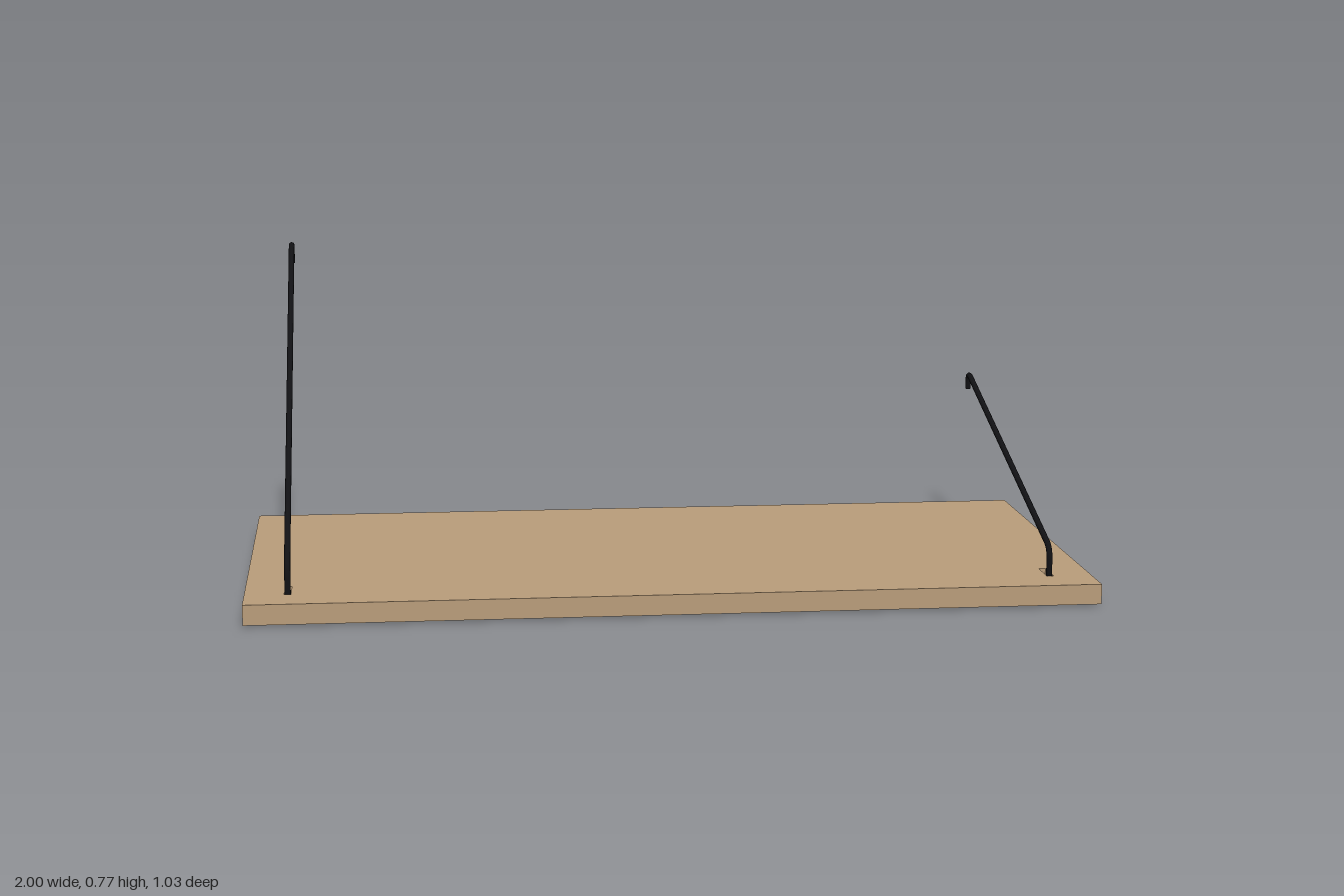
import * as THREE from 'three';

const wood = new THREE.MeshStandardMaterial({ name: 'tan wood', color: 0xb89c7a });
const black = new THREE.MeshStandardMaterial({ name: 'black metal', color: 0x111114 });

// Bent round bar through [z, y] corners at a fixed x, with rounded bends and capped ends
function bentBar(name, x, corners, radius, bend, segments, material) {
  const pts = corners.map(([z, y]) => new THREE.Vector3(x, y, z));
  const path = new THREE.CurvePath();
  let last = pts[0];
  for (let i = 1; i < pts.length - 1; i++) {
    const p = pts[i];
    const before = p.clone().add(pts[i - 1].clone().sub(p).setLength(bend));
    const after = p.clone().add(pts[i + 1].clone().sub(p).setLength(bend));
    path.add(new THREE.LineCurve3(last, before));
    path.add(new THREE.QuadraticBezierCurve3(before, p, after));
    last = after;
  }
  path.add(new THREE.LineCurve3(last, pts[pts.length - 1]));
  const group = new THREE.Group();
  group.name = name;
  const bar = new THREE.Mesh(new THREE.TubeGeometry(path, segments, radius, 12), material);
  bar.name = name + 'Bar';
  group.add(bar);
  for (const [t, sign] of [[0, -1], [1, 1]]) {
    const cap = new THREE.Mesh(new THREE.CircleGeometry(radius, 12), material);
    cap.name = name + 'Cap';
    cap.position.copy(path.getPointAt(t));
    cap.quaternion.setFromUnitVectors(
      new THREE.Vector3(0, 0, 1), path.getTangentAt(t).multiplyScalar(sign));
    group.add(cap);
  }
  return group;
}

// Rectangle traced in plan, with y = -z
function rectangle(target, x0, x1, z0, z1) {
  return target.moveTo(x0, -z1).lineTo(x1, -z1).lineTo(x1, -z0).lineTo(x0, -z0).closePath();
}

export function createModel() {
  const model = new THREE.Group();
  model.name = 'foldDownShelf';

  // Flat board with a narrow slot for each stay
  const plan = rectangle(new THREE.Shape(), -1, 1, -0.48, 0.516);
  for (const x of [-0.9, 0.9]) {
    plan.holes.push(rectangle(new THREE.Path(), x - 0.008, x + 0.008, 0.34, 0.42));
  }
  const boardGeometry = new THREE.ExtrudeGeometry(plan, { depth: 0.048, bevelEnabled: false });
  boardGeometry.rotateX(-Math.PI / 2);
  const board = new THREE.Mesh(boardGeometry, wood);
  board.name = 'board';
  board.position.y = 0.004;
  model.add(board);

  // Stays rising from the front of the board to hooked ends at the back
  model.add(bentBar('rightStay', -0.9,
    [[0.408, 0.01], [0.408, 0.116], [-0.503, 0.776], [-0.503, 0.718]], 0.0072, 0.028, 150, black));
  model.add(bentBar('leftStay', 0.9,
    [[0.408, 0.01], [0.408, 0.118], [-0.51, 0.4], [-0.51, 0.355]], 0.0072, 0.028, 150, black));

  // Small hooks along the back edge
  for (const x of [-0.645, -0.03, 0.64]) {
    model.add(bentBar('backHook', x,
      [[-0.47, 0.027], [-0.51, 0.027], [-0.51, 0]], 0.006, 0.02, 20, wood));
  }
  return model;
}
